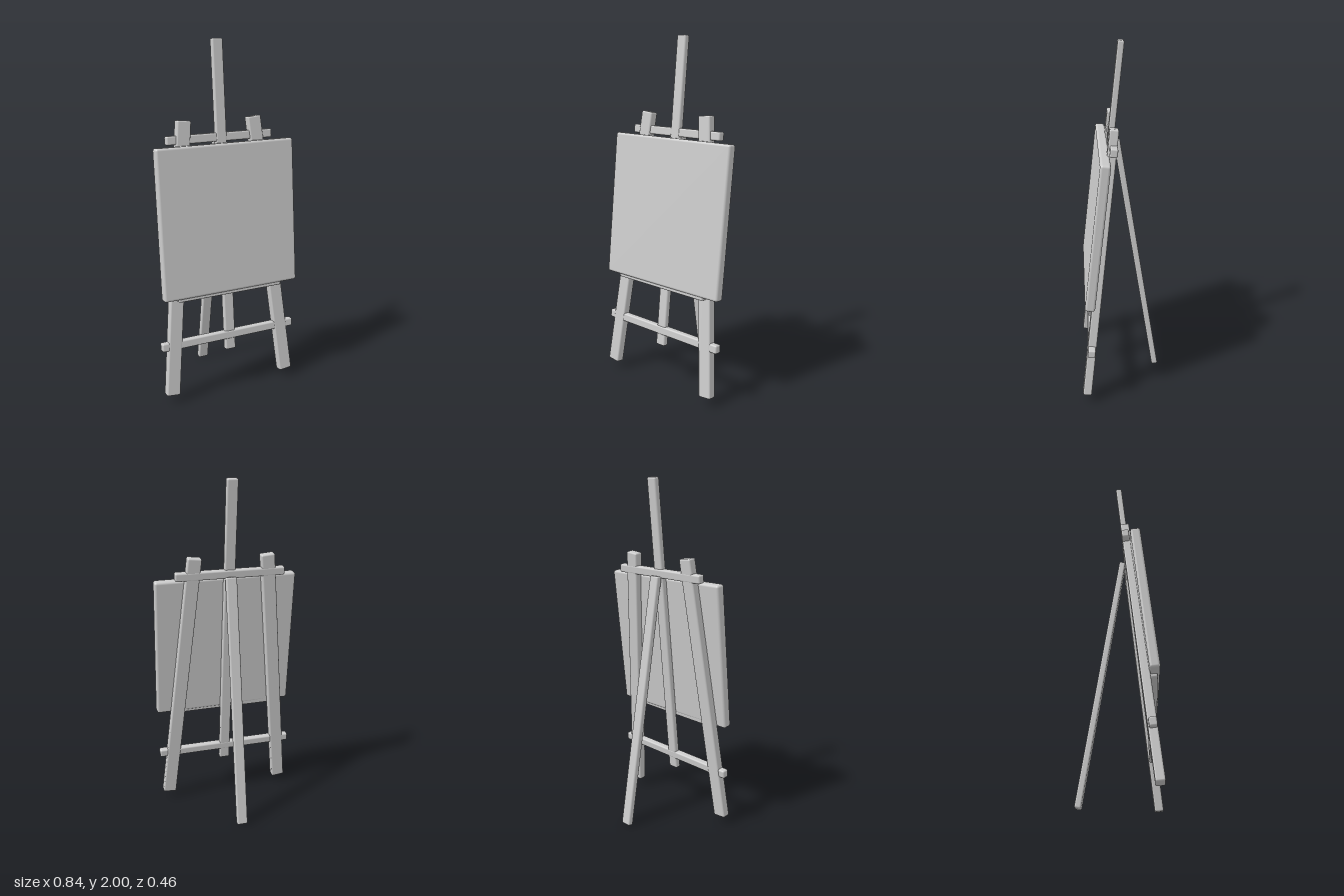
import * as THREE from 'three';
import { RoundedBoxGeometry } from 'three/addons/geometries/RoundedBoxGeometry.js';

const material = new THREE.MeshStandardMaterial({ color: 0xcccccc });

// Softly rounded timber running from a to b; width lies along x, depth along z.
function beam(name, a, b, width, depth, radius = 0.009) {
  const start = new THREE.Vector3(...a);
  const end = new THREE.Vector3(...b);
  const dir = end.clone().sub(start);
  const mesh = new THREE.Mesh(new RoundedBoxGeometry(width, dir.length(), depth, 2, radius), material);
  const y = dir.normalize();
  const z = new THREE.Vector3(1, 0, 0).cross(y).normalize();
  const x = y.clone().cross(z);
  mesh.quaternion.setFromRotationMatrix(new THREE.Matrix4().makeBasis(x, y, z));
  mesh.position.copy(start).add(end).multiplyScalar(0.5);
  mesh.name = name;
  return mesh;
}

// Horizontal rail, leaning back with the frame.
function rail(name, x0, x1, y, z, height, depth) {
  const mesh = new THREE.Mesh(new RoundedBoxGeometry(x1 - x0, height, depth, 2, 0.009), material);
  mesh.position.set((x0 + x1) / 2, y, z);
  mesh.rotation.x = -0.109;
  mesh.name = name;
  return mesh;
}

export function createModel() {
  const easel = new THREE.Group();
  easel.name = 'easel';

  // Splayed front legs, mirrored about the frame's slightly offset centre
  for (const [name, side] of [['leftFrontLeg', 1], ['rightFrontLeg', -1]]) {
    easel.add(beam(name, [-0.011 + side * 0.364, 0.05, 0.21], [-0.011 + side * 0.21, 1.577, 0.042], 0.08, 0.05));
  }

  // Central mast and the rear prop leg
  easel.add(beam('mast', [-0.004, 0.25, 0.188], [-0.004, 1.998, -0.003], 0.063, 0.036));
  easel.add(beam('rearLeg', [-0.004, 0.004, -0.214], [-0.004, 1.46, 0.021], 0.063, 0.036));

  // Cross rails and the ledge under the canvas
  easel.add(rail('upperRail', -0.325, 0.31, 1.475, 0.048, 0.048, 0.042));
  easel.add(rail('lowerRail', -0.423, 0.408, 0.34, 0.18, 0.048, 0.042));
  easel.add(rail('canvasLedge', -0.325, 0.315, 0.625, 0.188, 0.048, 0.042));

  // Canvas, leaning on the frame and turned a touch off square
  const canvas = new THREE.Mesh(new RoundedBoxGeometry(0.83, 0.834, 0.056, 3, 0.014), material);
  canvas.name = 'canvas';
  canvas.position.set(0.003, 1.034, 0.145);
  canvas.rotation.set(-0.112, 0.014, -0.002);
  easel.add(canvas);

  return easel;
}
